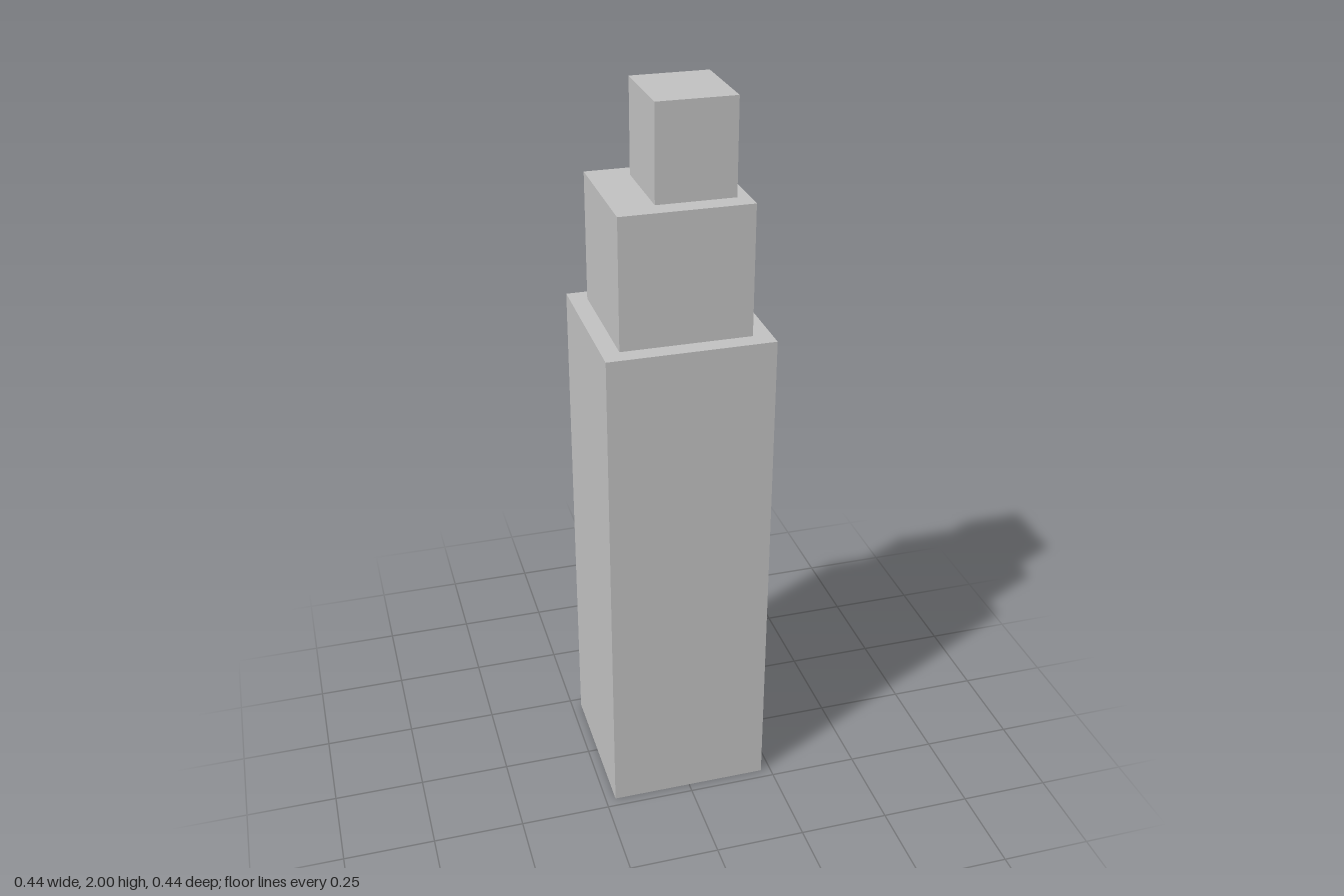
import * as THREE from 'three';

export function createModel() {
  const group = new THREE.Group();
  group.name = 'steppedTower';
  const grey = new THREE.MeshStandardMaterial({ color: 0xc0c0c0 });
  grey.name = 'light grey';

  // Stacked blocks: name, width, depth, bottom, top, x and z offset
  const tiers = [
    ['lowerTier', 0.444, 0.444, 0, 1.397, 0, 0],
    ['middleTier', 0.348, 0.348, 1.397, 1.748, -0.001, -0.001],
    ['upperTier', 0.209, 0.238, 1.748, 2, 0.037, -0.001],
  ];
  for (const [name, width, depth, bottom, top, x, z] of tiers) {
    const tier = new THREE.Mesh(new THREE.BoxGeometry(width, top - bottom, depth), grey);
    tier.name = name;
    tier.position.set(x, (bottom + top) / 2, z);
    group.add(tier);
  }
  return group;
}
